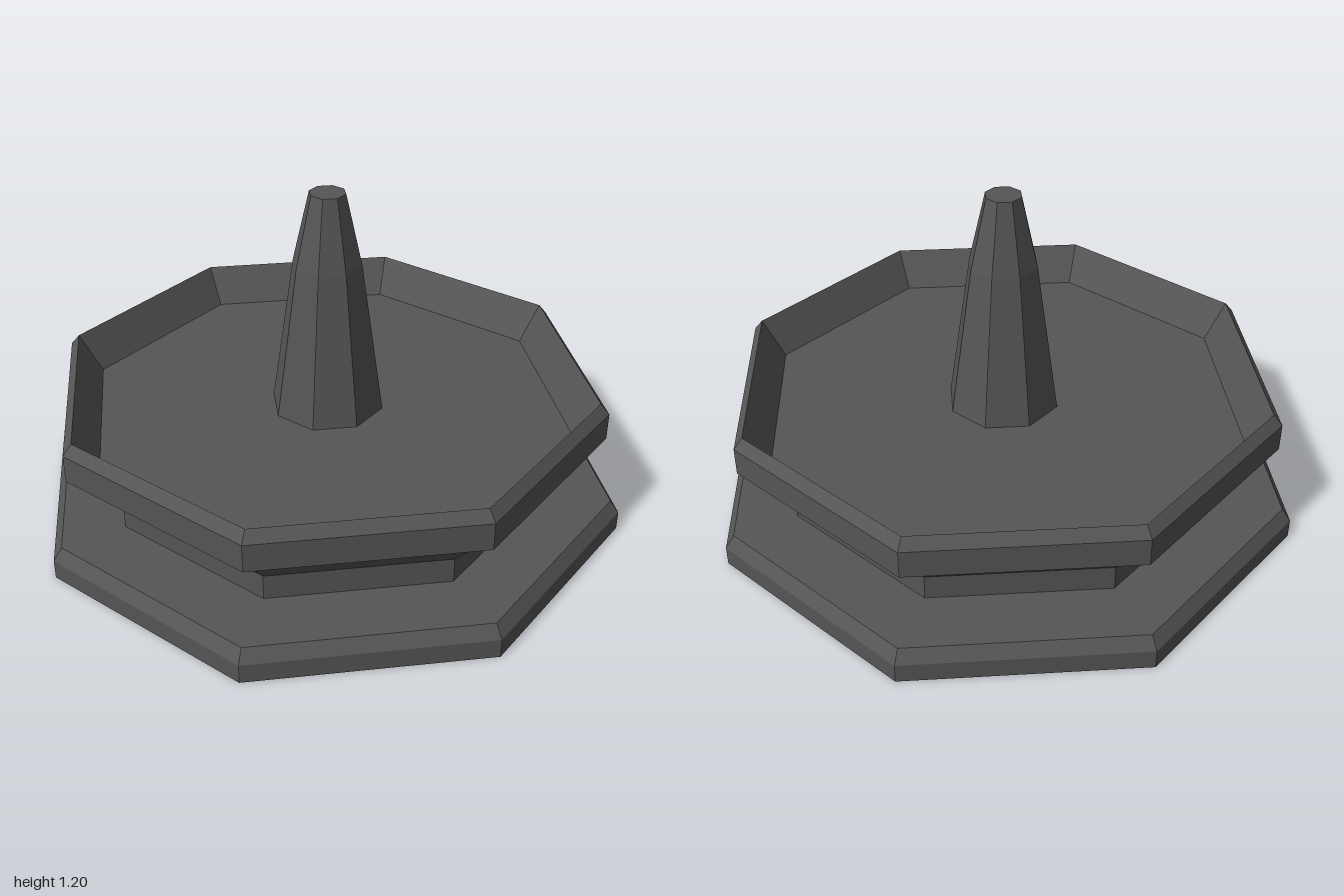
import * as THREE from 'three';

const SIDES = 8;

// Faceted octagonal turning: profile is [apothem, height], listed upward along the outside
function octagon(name, profile, material) {
  const toCorner = 1 / Math.cos(Math.PI / SIDES);
  const points = profile.map(([r, y]) => new THREE.Vector2(r * toCorner, y));
  const geometry = new THREE.LatheGeometry(points, SIDES, Math.PI / SIDES).toNonIndexed();
  geometry.computeVertexNormals();
  const mesh = new THREE.Mesh(geometry, material);
  mesh.name = name;
  return mesh;
}

export function createModel() {
  const stone = new THREE.MeshStandardMaterial({ color: 0x555555 });
  stone.name = 'dark stone';

  const group = new THREE.Group();
  group.name = 'fountain';

  // Bevelled foot slab
  group.add(octagon('foot', [[0, 0], [1, 0], [1, 0.07], [0.97, 0.115], [0, 0.115]], stone));

  // Neck flaring into a shallow basin with a sloped inner wall
  group.add(octagon('basin', [
    [0.755, 0.115], [0.755, 0.207], [0.82, 0.285], [0.93, 0.375], [0.93, 0.475],
    [0.9, 0.513], [0.82, 0.375], [0, 0.375],
  ], stone));

  // Tapered central spout
  group.add(octagon('spout', [[0.19, 0.375], [0.115, 0.935], [0.06, 1.195], [0, 1.195]], stone));

  return group;
}
